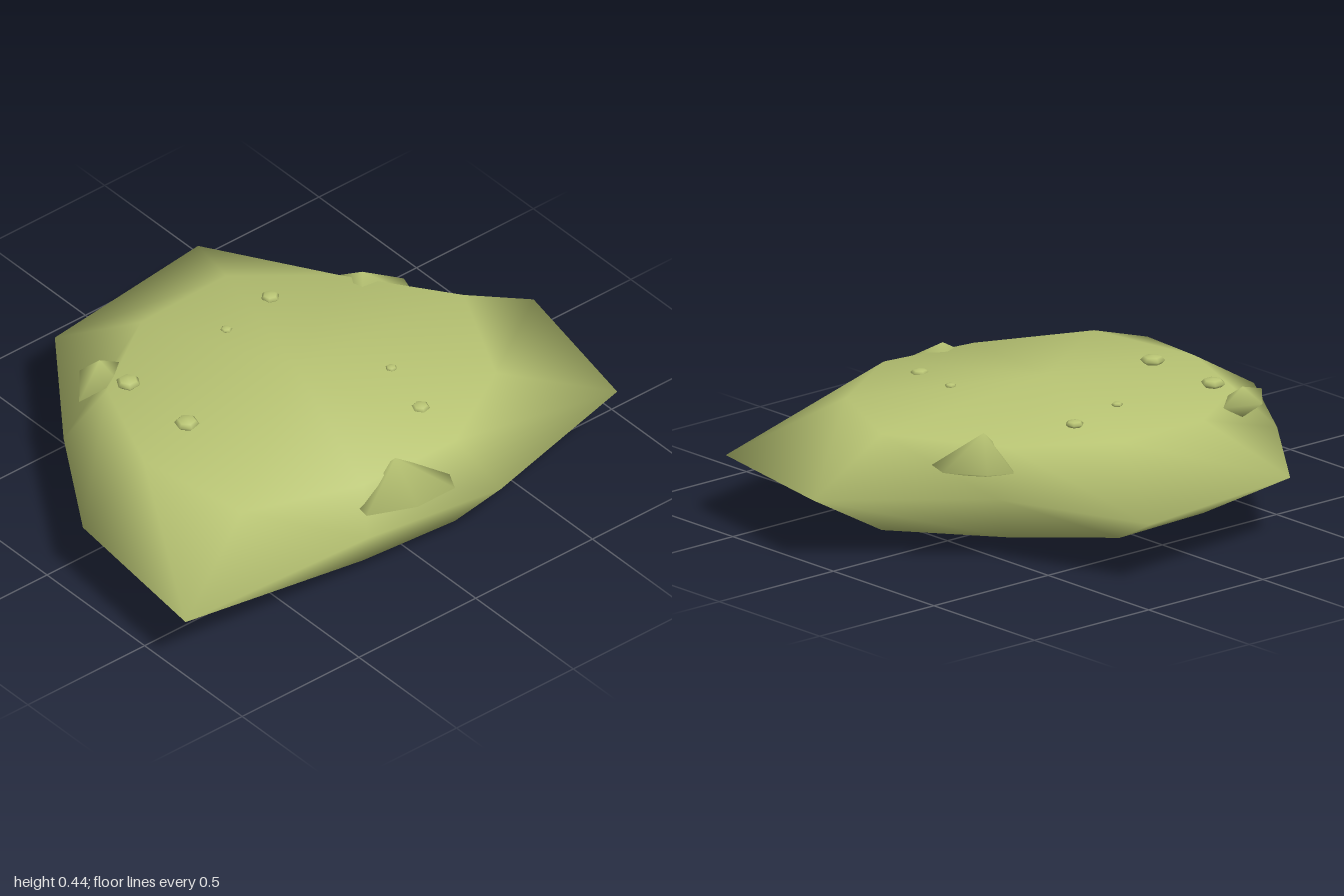
import * as THREE from 'three';

// Closed smooth stone: a top point, rings of points (running from +x towards +z), a bottom point
function stone(name, material, top, rings, bottom) {
  const n = rings[0].length;
  const pos = [top, ...rings.flat(), bottom].flat();
  const last = rings.length * n + 1;
  const at = (r, k) => 1 + r * n + (k % n);
  const index = [];
  for (let k = 0; k < n; k++) {
    index.push(0, at(0, k + 1), at(0, k));
    for (let r = 0; r < rings.length - 1; r++) {
      const a = at(r, k), b = at(r, k + 1), c = at(r + 1, k), d = at(r + 1, k + 1);
      index.push(a, b, c, b, d, c);
    }
    index.push(last, at(rings.length - 1, k), at(rings.length - 1, k + 1));
  }
  const g = new THREE.BufferGeometry();
  g.setAttribute('position', new THREE.Float32BufferAttribute(pos, 3));
  g.setIndex(index);
  g.computeVertexNormals();
  const mesh = new THREE.Mesh(g, material);
  mesh.name = name;
  return mesh;
}

export function createModel() {
  const group = new THREE.Group();
  group.name = 'flatRock';
  const moss = new THREE.MeshStandardMaterial({ color: 0xb9c574 });
  moss.name = 'mossGreen';

  // Slab: ten-sided irregular rim with rounder shoulders above and below
  const rim = [
    [1, 0.1], [0.89, 0.66], [0.26, 0.82], [-0.25, 0.745], [-1, 0.71],
    [-0.93, 0.1], [-0.67, -0.31], [-0.34, -0.75], [0.34, -0.83], [0.54, -0.29],
  ];
  const shoulderRadius = [0.72, 0.66, 0.62, 0.6, 0.72, 0.65, 0.62, 0.6, 0.61, 0.6];
  const shoulderHeight = [0.165, 0.16, 0.165, 0.155, 0.15, 0.15, 0.155, 0.16, 0.165, 0.155];
  const shoulder = (side) => shoulderRadius.map((r, k) => {
    const a = (k * Math.PI) / 5;
    return [-0.02 + r * Math.cos(a), 0.22 + side * shoulderHeight[k], 0.1 + r * Math.sin(a)];
  });
  group.add(stone('slab', moss, [-0.02, 0.44, 0.1],
    [shoulder(1), rim.map(([x, z]) => [x, 0.22, z]), shoulder(-1)], [-0.02, 0, 0.1]));

  // Three larger lumps set into the edge
  const lump = (name, apex, outline, y, base) => group.add(stone(name, moss, apex,
    [outline.map(([x, z]) => [x, y, z])], [apex[0], base, apex[2]]));
  lump('frontLump', [-0.06, 0.41, 0.66],
    [[0.11, 0.73], [0.07, 0.81], [-0.09, 0.81], [-0.25, 0.74], [-0.24, 0.68], [-0.06, 0.57], [0.03, 0.62]], 0.31, 0.25);
  lump('sideLump', [0.5, 0.415, -0.18],
    [[0.67, -0.17], [0.64, -0.08], [0.42, -0.08], [0.4, -0.2], [0.5, -0.33], [0.58, -0.29]], 0.31, 0.26);
  lump('backLump', [-0.47, 0.415, -0.365],
    [[-0.38, -0.37], [-0.45, -0.29], [-0.62, -0.29], [-0.51, -0.42]], 0.36, 0.31);

  // Small pebbles half sunk into the upper face: x, z, height, radius
  const pebbles = [
    [-0.46, -0.23, 0.404, 0.042], [-0.46, 0.07, 0.412, 0.042], [-0.04, -0.23, 0.418, 0.02],
    [0.19, -0.28, 0.411, 0.032], [0.24, 0.28, 0.42, 0.02], [0.19, 0.49, 0.405, 0.032],
  ];
  pebbles.forEach(([x, z, y, r], i) => {
    const pebble = new THREE.Mesh(new THREE.SphereGeometry(r, 6, 4), moss);
    pebble.scale.y = 0.4;
    pebble.position.set(x, y - 0.006, z);
    pebble.rotation.y = i * 1.3;
    pebble.name = 'pebble';
    group.add(pebble);
  });
  return group;
}
